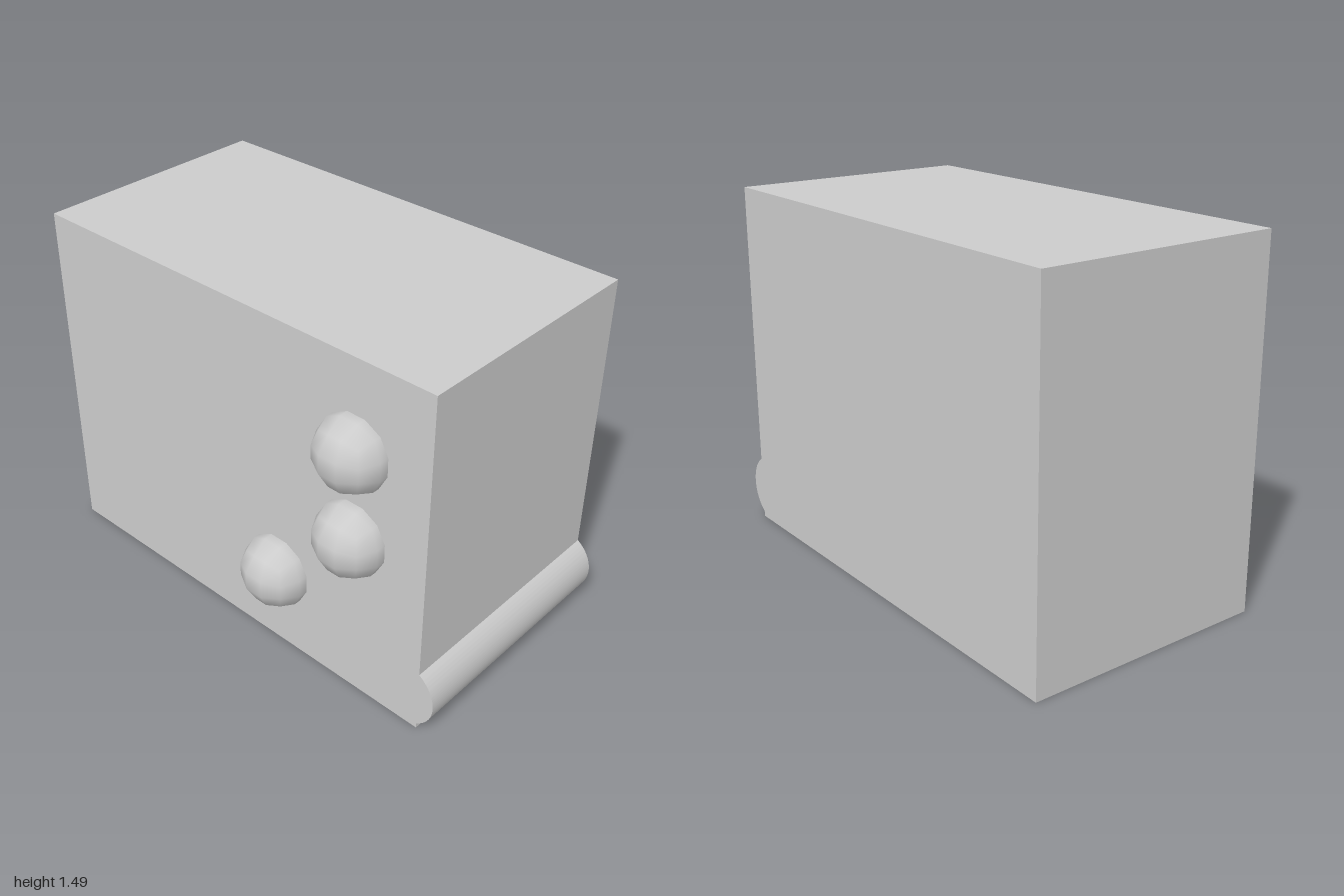
import * as THREE from 'three';
import { toCreasedNormals } from 'three/addons/utils/BufferGeometryUtils.js';

// Rounded ball made from a cube with three even divisions per side
function ballGeometry(radius) {
  const geo = new THREE.BoxGeometry(2, 2, 2, 3, 3, 3);
  const pos = geo.attributes.position;
  const v = new THREE.Vector3();
  for (let i = 0; i < pos.count; i++) {
    v.fromBufferAttribute(pos, i);
    v.set(...v.toArray().map((c) => Math.tan((c * Math.PI) / 4))).normalize();
    geo.attributes.normal.setXYZ(i, v.x, v.y, v.z);
    pos.setXYZ(i, v.x * radius, v.y * radius, v.z * radius);
  }
  return geo;
}

export function createModel() {
  const group = new THREE.Group();
  const grey = new THREE.MeshStandardMaterial({ color: 0xcccccc });
  grey.name = 'light grey';

  const add = (name, geo, x, y, z) => {
    const mesh = new THREE.Mesh(geo, grey);
    mesh.name = name;
    mesh.position.set(x, y, z);
    group.add(mesh);
  };

  // Main block
  const left = 0.59, right = -0.45, height = 1.49, front = 0.93, back = -1;
  const width = left - right;
  add('body', new THREE.BoxGeometry(width, height, front - back),
    (left + right) / 2, height / 2, (front + back) / 2);

  // Rounded lip along the bottom of the front
  const r = 0.15, centreZ = 0.85;
  const a = Math.acos((front - centreZ) / r);
  const profile = new THREE.Shape();
  profile.absarc(centreZ, r, r, -a, a, false);
  profile.closePath();
  const lip = new THREE.ExtrudeGeometry(profile, { depth: width, bevelEnabled: false, curveSegments: 32 });
  lip.rotateY(-Math.PI / 2);
  add('frontLip', toCreasedNormals(lip, 0.5), left, 0, 0);

  // Half-sunk knobs on the right side
  const knob = ballGeometry(0.155);
  [[1.12, 0.6], [0.745, 0.6], [0.373, 0.223]].forEach(([y, z], i) => {
    add(`sideKnob${i + 1}`, knob, right, y, z);
  });

  return group;
}
